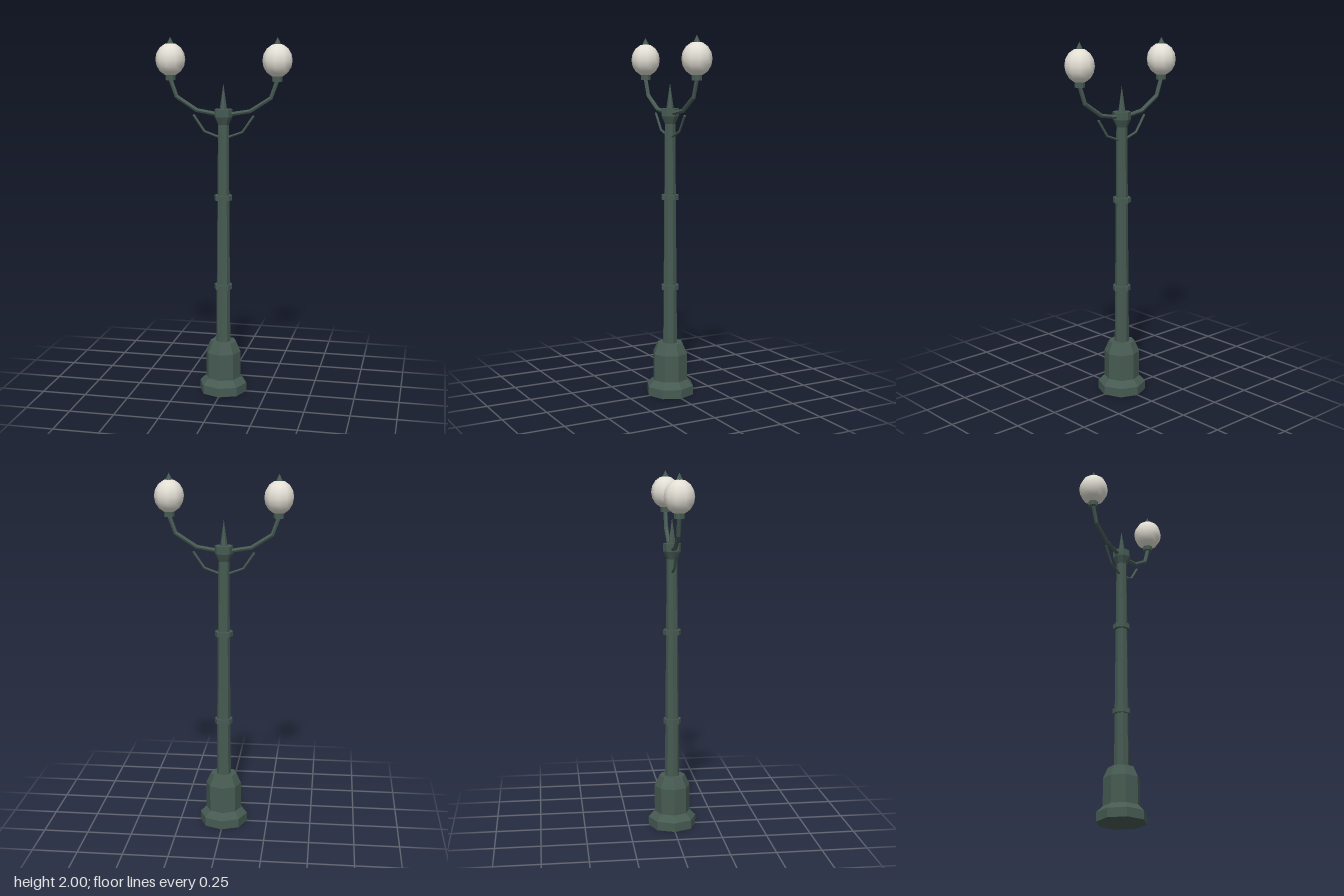
import * as THREE from 'three';

// Straight-segment path, sampled so that every corner is hit exactly
class Polyline extends THREE.Curve {
  constructor(points) {
    super();
    this.points = points.map(([x, y]) => new THREE.Vector3(x, y, 0));
  }
  getUtoTmapping(u) { return u; }
  getPoint(t, target = new THREE.Vector3()) {
    const n = this.points.length - 1;
    const i = Math.min(Math.floor(t * n), n - 1);
    return target.lerpVectors(this.points[i], this.points[i + 1], t * n - i);
  }
}

export function createModel() {
  const iron = new THREE.MeshStandardMaterial({ color: 0x475b53 });
  iron.name = 'dark green iron';
  iron.flatShading = true;
  const glass = new THREE.MeshStandardMaterial({ color: 0xe4e0d6 });
  glass.name = 'milky glass';

  const model = new THREE.Group();
  model.name = 'streetLamp';

  const add = (parent, name, geometry, material = iron) => {
    const mesh = new THREE.Mesh(geometry, material);
    mesh.name = name;
    parent.add(mesh);
    return mesh;
  };
  // Faceted turned part from [radius, height] pairs, listed bottom to top
  const turned = (parent, name, profile, sides = 8) =>
    add(parent, name, new THREE.LatheGeometry(profile.map(([r, y]) => new THREE.Vector2(r, y)), sides));
  // Bent rod with a closed outer end
  const rod = (parent, name, points, radius) => {
    const path = new Polyline(points);
    add(parent, name, new THREE.TubeGeometry(path, points.length - 1, radius, 6));
    const cap = add(parent, name + 'End', new THREE.CircleGeometry(radius, 6));
    const end = path.getPoint(1);
    cap.position.copy(end);
    cap.lookAt(end.clone().add(path.getTangent(1)));
  };

  // Octagonal pedestal and post
  turned(model, 'foot', [[0, 0], [0.135, 0], [0.135, 0.05], [0.1, 0.085]]);
  turned(model, 'pedestal', [[0.1, 0.085], [0.1, 0.235], [0.073, 0.295], [0, 0.295]]);
  turned(model, 'post', [[0.041, 0.29], [0.03, 1.54]]);
  for (const y of [0.6, 1.108]) {
    turned(model, 'collar', [[0.03, y], [0.05, y], [0.05, y + 0.028], [0.03, y + 0.028]]);
  }
  turned(model, 'capital', [[0.029, 1.525], [0.05, 1.57], [0.05, 1.612], [0, 1.612]]);

  // Centre spike
  const spike = add(model, 'spike', new THREE.ConeGeometry(0.021, 0.145, 6));
  spike.position.y = 1.68;
  spike.rotation.y = Math.PI / 6;

  // Two matching lamp arms
  for (const side of ['left', 'right']) {
    const arm = new THREE.Group();
    arm.name = side + 'Arm';
    arm.rotation.y = side === 'left' ? 0 : Math.PI;
    model.add(arm);

    rod(arm, 'arm', [[0.01, 1.58], [0.148, 1.603], [0.262, 1.676], [0.297, 1.772]], 0.012);
    rod(arm, 'bracket', [[0.01, 1.453], [0.106, 1.488], [0.168, 1.578]], 0.007);

    const lamp = new THREE.Group();
    lamp.name = 'lamp';
    lamp.position.x = 0.296;
    arm.add(lamp);
    turned(lamp, 'cup', [[0, 1.765], [0.028, 1.765], [0.028, 1.795], [0, 1.795]]);

    const globe = add(lamp, 'globe', new THREE.SphereGeometry(0.082, 10, 8), glass);
    globe.scale.y = 1.1;
    globe.rotation.y = Math.PI / 2;
    globe.position.y = 1.877;

    const finial = add(lamp, 'finial', new THREE.ConeGeometry(0.021, 0.042, 6));
    finial.position.y = 1.979;
    finial.rotation.y = Math.PI / 6;
  }
  return model;
}
